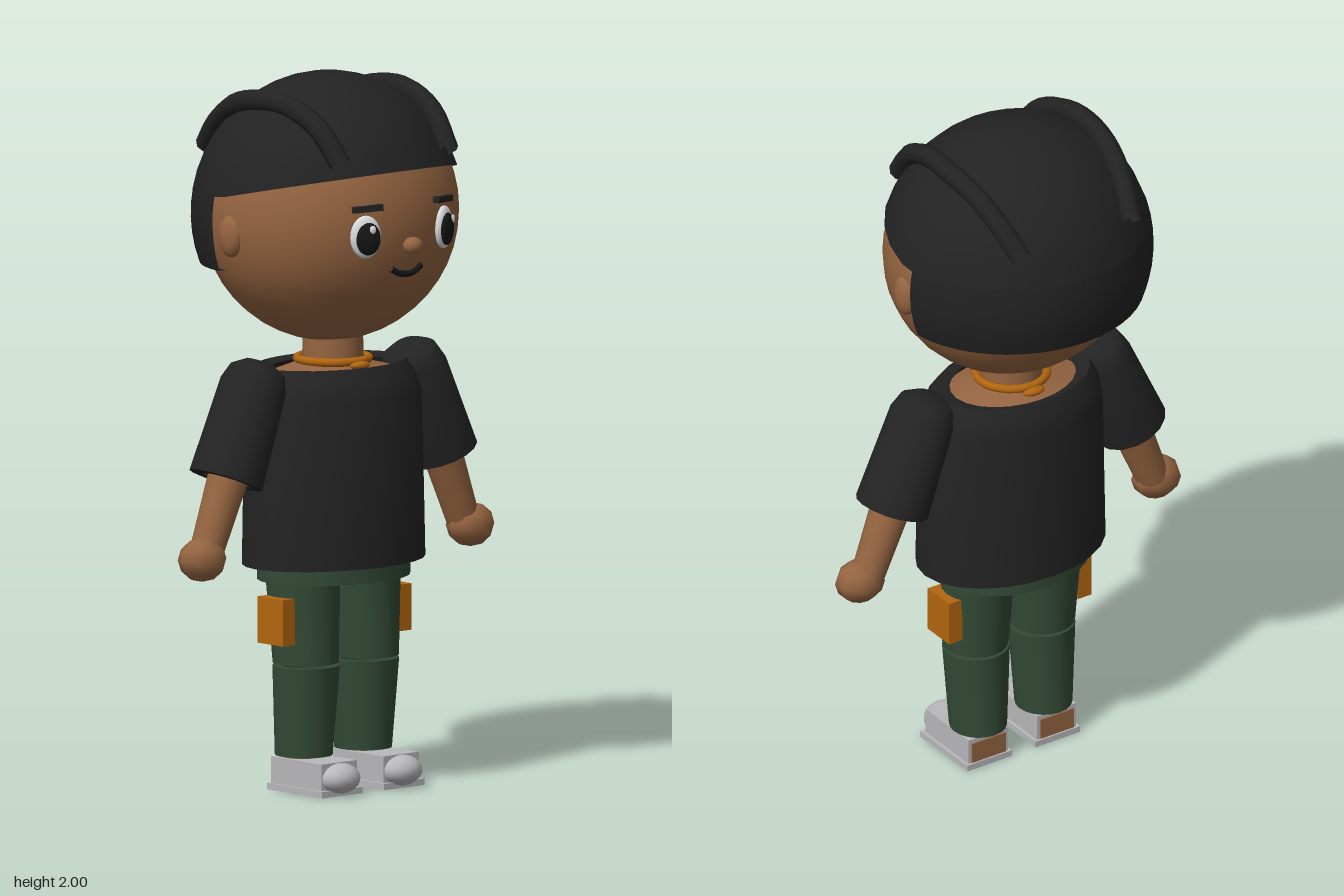
import * as THREE from 'three';
import { toCreasedNormals } from 'three/addons/utils/BufferGeometryUtils.js';

const paint = (name, color) => {
  const m = new THREE.MeshStandardMaterial({ color, side: THREE.DoubleSide });
  m.name = name;
  return m;
};

// Grid surface: rows run upwards, columns run from +z towards +x
function grid(rows, cols, closed, f) {
  const pos = [], idx = [], n = closed ? cols : cols + 1;
  for (let i = 0; i <= rows; i++) for (let j = 0; j < n; j++) pos.push(...f(i, j / cols));
  for (let i = 0; i < rows; i++) for (let j = 0; j < cols; j++) {
    const a = i * n + j, b = i * n + (j + 1) % n;
    idx.push(a, b, a + n, b, b + n, a + n);
  }
  const g = new THREE.BufferGeometry();
  g.setAttribute('position', new THREE.Float32BufferAttribute(pos, 3));
  g.setIndex(idx);
  g.computeVertexNormals();
  return g;
}

// Elliptical rings, each [y, rx, rz, centreZ]
const loft = (rings, seg = 24) => toCreasedNormals(grid(rings.length - 1, seg, true, (i, v) => {
  const [y, rx, rz, cz] = rings[i], a = v * Math.PI * 2;
  return [rx * Math.sin(a), y, cz + rz * Math.cos(a)];
}), 0.7);

export function createModel() {
  const model = new THREE.Group();
  const skin = paint('skin', 0x946440);
  const hair = paint('hair black', 0x222222);
  const cloth = paint('shirt black', 0x232323);
  const green = paint('trouser green', 0x334a36);
  const orange = paint('orange', 0xb2660f);
  const grey = paint('shoe grey', 0xb8b8bb);
  const white = paint('eye white', 0xd8dadc);
  const dark = paint('pupil black', 0x161616);

  const add = (name, geo, mat, x = 0, y = 0, z = 0, parent = model) => {
    const m = new THREE.Mesh(geo, mat);
    m.name = name;
    m.position.set(x, y, z);
    parent.add(m);
    return m;
  };
  const ball = (name, mat, x, y, z, rx, ry, rz, seg = 20, parent = model) => {
    const m = add(name, new THREE.SphereGeometry(1, seg, Math.max(6, seg * 0.7 | 0)), mat, x, y, z, parent);
    m.scale.set(rx, ry, rz);
    return m;
  };
  const box = (name, mat, w, h, d, x, y, z, parent) =>
    add(name, new THREE.BoxGeometry(w, h, d), mat, x, y, z, parent);
  const tube = (name, mat, pts, r, seg = 20) => add(name, new THREE.TubeGeometry(
    new THREE.CatmullRomCurve3(pts.map(p => new THREE.Vector3(...p))), seg, r, 8), mat);

  // Head and nose
  ball('head', skin, 0, 1.61, 0.005, 0.375, 0.36, 0.335, 32);
  ball('nose', skin, 0, 1.55, 0.347, 0.03, 0.025, 0.027, 12);
  tube('mouth', dark, [[-0.055, 1.487, 0.318], [-0.03, 1.474, 0.322], [0, 1.469, 0.324],
    [0.03, 1.474, 0.322], [0.055, 1.487, 0.318]], 0.009);

  // Hair cap with a sloping fringe
  const cy = 1.61, cz = -0.008, rx = 0.39, ry = 0.39, rz = 0.365, cut = -0.053;
  add('hairCap', grid(10, 28, true, (i, v) => {
    const phi = v * Math.PI * 2;
    let th = 1.3;
    for (let k = 0; k < 8; k++) {
      const z = cz + rz * Math.sin(th) * Math.cos(phi);
      th = Math.acos((1.675 + 0.22 * Math.max(0, z - cut) - cy) / ry);
    }
    th *= Math.max(1 - i / 10, 0.001);
    return [rx * Math.sin(th) * Math.sin(phi), cy + ry * Math.cos(th), cz + rz * Math.sin(th) * Math.cos(phi)];
  }), hair);

  // Longer hair behind the ears, its first row folded inwards
  add('hairBack', toCreasedNormals(grid(6, 22, false, (i, v) => {
    const y = 1.47 + 0.215 * Math.max(0, i - 1) / 5;
    const k = Math.sqrt(1 - ((y - cy) / ry) ** 2) * (i ? 1 : 0.91);
    const a0 = Math.acos((cut - cz) / (rz * k)), a = a0 + v * (Math.PI * 2 - 2 * a0);
    return [rx * k * Math.sin(a), y, cz + rz * k * Math.cos(a)];
  }), 0.7), hair);

  // Neck, chest and necklace
  add('neck', new THREE.CylinderGeometry(0.083, 0.088, 0.16, 20), skin, 0, 1.22, 0.015);
  add('torso', loft([[0.6, 0.001, 0.001, 0.015], [0.6, 0.2, 0.155, 0.015], [1.1, 0.22, 0.16, 0.015],
    [1.165, 0.2, 0.145, 0.01], [1.195, 0.08, 0.08, 0.01]]), skin);
  const necklace = add('necklace', new THREE.TorusGeometry(0.1, 0.012, 8, 28), orange, 0, 1.2, 0.015);
  necklace.rotation.x = Math.PI / 2;
  for (const s of [1, -1]) ball('necklaceBead', orange, 0, 1.19, 0.015 + s * 0.112, 0.035, 0.012, 0.018, 10);

  // Shirt and waistband
  add('shirt', loft([[0.635, 0.26, 0.18, 0.02], [0.635, 0.288, 0.205, 0.018], [1.1, 0.275, 0.205, 0.016],
    [1.15, 0.262, 0.19, 0.01], [1.19, 0.235, 0.165, 0.007], [1.18, 0.19, 0.14, 0.007]]), cloth);
  add('waistband', loft([[0.59, 0.2, 0.155, 0.018], [0.59, 0.235, 0.183, 0.018], [0.68, 0.235, 0.183, 0.018]]), green);

  for (const s of [1, -1]) {
    const side = s > 0 ? 'left' : 'right';

    // Eye, turned to follow the face
    const eye = new THREE.Group();
    eye.name = side + 'Eye';
    eye.position.set(s * 0.145, 1.585, 0.313);
    eye.rotation.y = s * 0.42;
    model.add(eye);
    ball('eyeWhite', white, 0, 0, 0, 0.045, 0.06, 0.02, 20, eye);
    ball('pupil', dark, -s * 0.004, -0.004, 0.012, 0.036, 0.046, 0.014, 20, eye);
    ball('eyeGlint', white, 0.014, 0.022, 0.022, 0.01, 0.012, 0.005, 10, eye);
    const brow = box(side + 'Brow', hair, 0.088, 0.017, 0.02, s * 0.14, 1.664, 0.315);
    brow.rotation.set(0, s * 0.4, -s * 0.05);

    ball(side + 'Ear', skin, s * 0.365, 1.575, 0, 0.028, 0.06, 0.042, 16);

    // Braid over the crown
    tube(side + 'Braid', hair, [[s * 0.2, 1.79, 0.27], [s * 0.215, 1.885, 0.19], [s * 0.228, 1.935, 0.08],
      [s * 0.235, 1.94, -0.02], [s * 0.225, 1.915, -0.14], [s * 0.205, 1.85, -0.24], [s * 0.185, 1.78, -0.305]], 0.03);

    // Arm with sleeve, built hanging down from the shoulder
    const arm = new THREE.Group();
    arm.name = side + 'Arm';
    arm.position.set(s * 0.29, 1.17, 0.017);
    arm.rotation.z = s * 0.38;
    model.add(arm);
    add('sleeve', loft([[-0.295, 0.07, 0.07, 0], [-0.295, 0.107, 0.103, 0], [-0.02, 0.088, 0.1, 0],
      [0.025, 0.075, 0.08, 0], [0.048, 0.04, 0.04, 0], [0.05, 0.001, 0.001, 0]], 16), cloth, 0, 0, 0, arm);
    add('forearm', new THREE.CylinderGeometry(0.062, 0.047, 0.34, 16), skin, 0, -0.34, 0.005, arm);
    ball(side + 'Hand', skin, s * 0.498, 0.685, 0.03, 0.074, 0.062, 0.062, 9);

    // Trouser leg in two pieces, meeting at the knee
    add(side + 'Thigh', loft([[0.36, 0.07, 0.07, 0.027], [0.36, 0.092, 0.092, 0.027],
      [0.62, 0.105, 0.106, 0.015]], 20), green, s * 0.112, 0, 0);
    add(side + 'Shin', loft([[0.1, 0.055, 0.055, 0.017], [0.1, 0.08, 0.082, 0.017],
      [0.352, 0.095, 0.093, 0.027], [0.352, 0.07, 0.07, 0.027]], 20), green, s * 0.11, 0, 0);
    box(side + 'Pocket', orange, 0.045, 0.13, 0.105, s * 0.217, 0.485, 0.022);

    // Shoe with bare heel and underside
    const shoe = new THREE.Group();
    shoe.name = side + 'Shoe';
    shoe.position.x = s * 0.115;
    model.add(shoe);
    add('ankle', new THREE.CylinderGeometry(0.055, 0.055, 0.08, 16), skin, 0, 0.1, 0.015, shoe);
    box('sole', grey, 0.15, 0.018, 0.23, 0, 0.011, 0.068, shoe);
    box('upper', grey, 0.132, 0.075, 0.21, 0, 0.057, 0.065, shoe);
    box('heel', skin, 0.112, 0.06, 0.008, 0, 0.052, -0.041, shoe);
    box('underfoot', skin, 0.12, 0.004, 0.19, 0, 0.002, 0.06, shoe);
    ball('toeCap', grey, 0, 0.05, 0.17, 0.063, 0.043, 0.053, 18, shoe);
  }
  return model;
}
